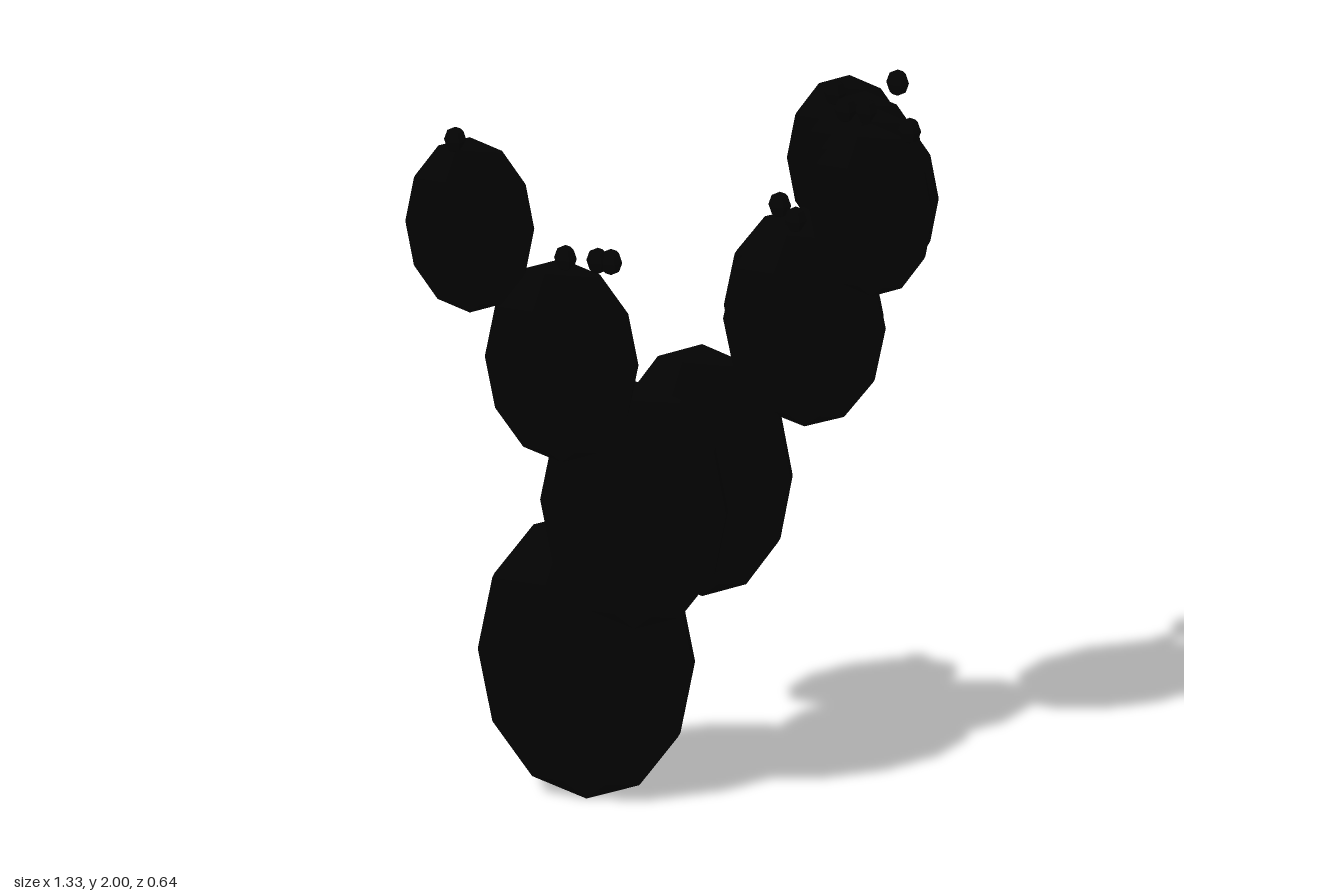
import * as THREE from 'three';

export function createModel() {
  const model = new THREE.Group();
  model.name = 'pricklyPearCactus';
  const material = new THREE.MeshStandardMaterial({ color: 0x030303, flatShading: true });

  // Eight-sided unit ellipsoid, turned so that flats face along x and z
  const padGeometry = new THREE.SphereGeometry(1, 8, 6, Math.PI / 8);
  padGeometry.scale(1 / Math.cos(Math.PI / 8), 1, 1 / Math.cos(Math.PI / 8));
  const budGeometry = new THREE.SphereGeometry(1, 6, 4);

  // Flat pad, optionally carrying fruit buds at [x, y] on its rim
  function addPad(name, [x, y, z], [w, h, d], buds = []) {
    const group = new THREE.Group();
    group.name = name;
    const pad = new THREE.Mesh(padGeometry, material);
    pad.name = name + 'Body';
    pad.position.set(x, y, z);
    pad.scale.set(w, h, d);
    group.add(pad);
    for (const [bx, by] of buds) {
      const bud = new THREE.Mesh(budGeometry, material);
      bud.name = 'fruitBud';
      bud.position.set(bx, by, z);
      bud.scale.set(0.03, 0.037, 0.026);
      group.add(bud);
    }
    model.add(group);
  }

  // Trunk pads
  addPad('basePad', [-0.255, 0.405, -0.01], [0.283, 0.405, 0.042]);
  addPad('frontTrunkPad', [-0.095, 0.91, 0.15], [0.245, 0.35, 0.037]);
  addPad('backTrunkPad', [0.032, 0.915, -0.095], [0.236, 0.355, 0.036]);

  // Right arm
  addPad('rightArmPad', [-0.26, 1.355, 0.275], [0.2, 0.287, 0.03],
    [[-0.25, 1.645], [-0.165, 1.645], [-0.13, 1.645]]);
  addPad('rightTipPad', [-0.497, 1.727, 0.3], [0.168, 0.247, 0.024], [[-0.535, 1.963]]);

  // Left arm
  addPad('leftFrontArmPad', [0.303, 1.355, -0.09], [0.212, 0.29, 0.03], [[0.28, 1.645]]);
  addPad('leftBackArmPad', [0.283, 1.355, -0.175], [0.208, 0.29, 0.03], [[0.22, 1.645]]);

  // Four tip pads fanned from front to back
  const tips = [
    [0.498, 0, [[0.6, 1.963]]],
    [0.49, -0.1, [[0.465, 1.963], [0.41, 1.963]]],
    [0.44, -0.203, [[0.36, 1.963]]],
    [0.378, -0.297, [[0.505, 1.963]]],
  ];
  tips.forEach(([x, z, buds], i) =>
    addPad('leftTipPad' + (i + 1), [x, 1.73, z], [0.163, 0.243, 0.024], buds));

  return model;
}
